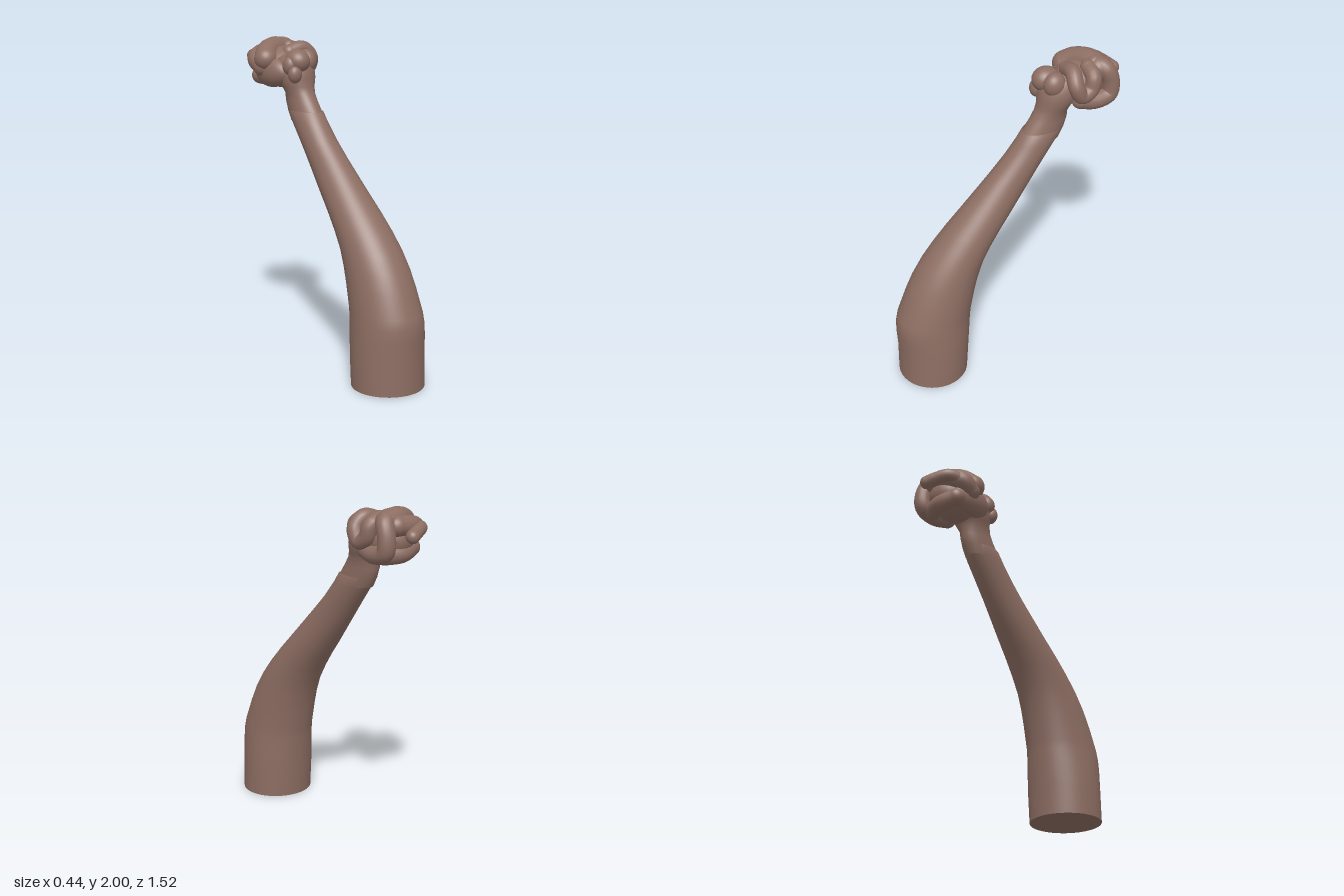
import * as THREE from 'three';

const skin = new THREE.MeshStandardMaterial({ color: 0x8d6e63 });
skin.name = 'brown skin';

const V = (p) => new THREE.Vector3(...p);

function add(group, name, geometry) {
  const mesh = new THREE.Mesh(geometry, skin);
  mesh.name = name;
  group.add(mesh);
  return mesh;
}

// Closed loft through level ellipses: [y, front z, back z, half width]
function loft(sections, sides = 48) {
  const pos = [], index = [];
  sections.forEach(([y, zf, zb, rx], j) => {
    for (let i = 0; i < sides; i++) {
      const a = (i / sides) * Math.PI * 2;
      pos.push(rx * Math.cos(a), y, (zf + zb) / 2 + ((zf - zb) / 2) * Math.sin(a));
      if (j === sections.length - 1) continue;
      const p = j * sides + i, q = j * sides + ((i + 1) % sides);
      index.push(p, p + sides, q, q, p + sides, q + sides);
    }
  });
  const g = new THREE.BufferGeometry();
  g.setAttribute('position', new THREE.Float32BufferAttribute(pos, 3));
  g.setIndex(index);
  g.computeVertexNormals();
  return g;
}

// Rounded fleshy mass
function blob(group, name, centre, radii, tilt = [0, 0, 0]) {
  const mesh = add(group, name, new THREE.SphereGeometry(1, 32, 20));
  mesh.position.set(...centre);
  mesh.scale.set(...radii);
  mesh.rotation.set(...tilt);
}

// Bent finger: a smooth tube with round ends
function finger(parent, name, points, r) {
  const group = new THREE.Group();
  group.name = name;
  const curve = new THREE.CatmullRomCurve3(points.map(V));
  add(group, name + 'Length', new THREE.TubeGeometry(curve, 36, r, 18, false));
  for (const p of [points[0], points[points.length - 1]]) blob(group, name + 'End', p, [r, r, r]);
  parent.add(group);
}

export function createModel() {
  const model = new THREE.Group();
  model.name = 'raisedArm';

  // Arm: thick upright base bending back and tapering to the wrist
  add(model, 'arm', loft([
    [0, 0.755, 0.32, 0.222], [0.2, 0.752, 0.305, 0.222], [0.33, 0.76, 0.292, 0.214],
    [0.4, 0.76, 0.285, 0.208], [0.46, 0.748, 0.277, 0.203], [0.6, 0.69, 0.245, 0.193],
    [0.7, 0.643, 0.215, 0.183], [0.8, 0.58, 0.175, 0.172], [0.9, 0.5, 0.113, 0.16],
    [1.0, 0.408, 0.04, 0.147], [1.1, 0.308, -0.04, 0.133], [1.2, 0.208, -0.115, 0.12],
    [1.3, 0.108, -0.19, 0.108], [1.4, 0.008, -0.262, 0.102], [1.5, -0.075, -0.338, 0.097],
    [1.56, -0.115, -0.375, 0.092], [1.565, -0.135, -0.36, 0.08],
  ]));
  const cap = add(model, 'armBase', new THREE.CircleGeometry(1, 48).rotateX(Math.PI / 2));
  cap.scale.set(0.222, 1, 0.2175);
  cap.position.set(0, 0, 0.5375);

  const hand = new THREE.Group();
  hand.name = 'fist';
  model.add(hand);

  // Wrist flaring into the palm
  add(hand, 'wrist', loft([
    [1.5, -0.09, -0.355, 0.085], [1.56, -0.122, -0.388, 0.085], [1.62, -0.165, -0.408, 0.082],
    [1.67, -0.2, -0.41, 0.084], [1.71, -0.218, -0.43, 0.1], [1.76, -0.22, -0.47, 0.118],
    [1.82, -0.23, -0.5, 0.122], [1.88, -0.26, -0.5, 0.1], [1.91, -0.32, -0.44, 0.05],
  ]));
  blob(hand, 'palm', [0, 1.815, -0.49], [0.145, 0.13, 0.17]);
  blob(hand, 'palmSide', [-0.1, 1.79, -0.46], [0.07, 0.095, 0.15]);

  // Lumps at the heel of the hand
  blob(hand, 'heelMiddle', [-0.035, 1.865, -0.285], [0.075, 0.075, 0.085]);
  blob(hand, 'heelOuter', [-0.085, 1.84, -0.29], [0.048, 0.06, 0.05]);
  blob(hand, 'heelLower', [-0.08, 1.79, -0.25], [0.045, 0.055, 0.04]);
  blob(hand, 'heelInner', [0.045, 1.86, -0.3], [0.06, 0.075, 0.07]);

  // Curled fingers
  finger(hand, 'crossingFinger', [[-0.135, 1.87, -0.475], [-0.09, 1.905, -0.52],
    [0, 1.925, -0.56], [0.08, 1.915, -0.575]], 0.073);
  finger(hand, 'outerFinger', [[-0.14, 1.82, -0.5], [-0.14, 1.86, -0.56],
    [-0.06, 1.89, -0.62], [0.05, 1.9, -0.62]], 0.06);
  finger(hand, 'loopedFinger', [[0, 1.91, -0.41], [0.09, 1.93, -0.395], [0.147, 1.87, -0.385],
    [0.15, 1.8, -0.425], [0.15, 1.83, -0.485], [0.14, 1.9, -0.505], [0.07, 1.93, -0.51]], 0.048);
  finger(hand, 'curledFinger', [[0.06, 1.94, -0.56], [0.12, 1.92, -0.6], [0.135, 1.84, -0.63],
    [0.135, 1.76, -0.62], [0.13, 1.735, -0.53], [0.11, 1.75, -0.44]], 0.053);
  finger(hand, 'lowerFinger', [[-0.1, 1.76, -0.58], [0, 1.74, -0.61], [0.1, 1.735, -0.58]], 0.055);
  finger(hand, 'thumb', [[-0.14, 1.87, -0.59], [-0.1, 1.88, -0.655],
    [-0.03, 1.865, -0.695], [0.02, 1.85, -0.717]], 0.04);
  return model;
}
